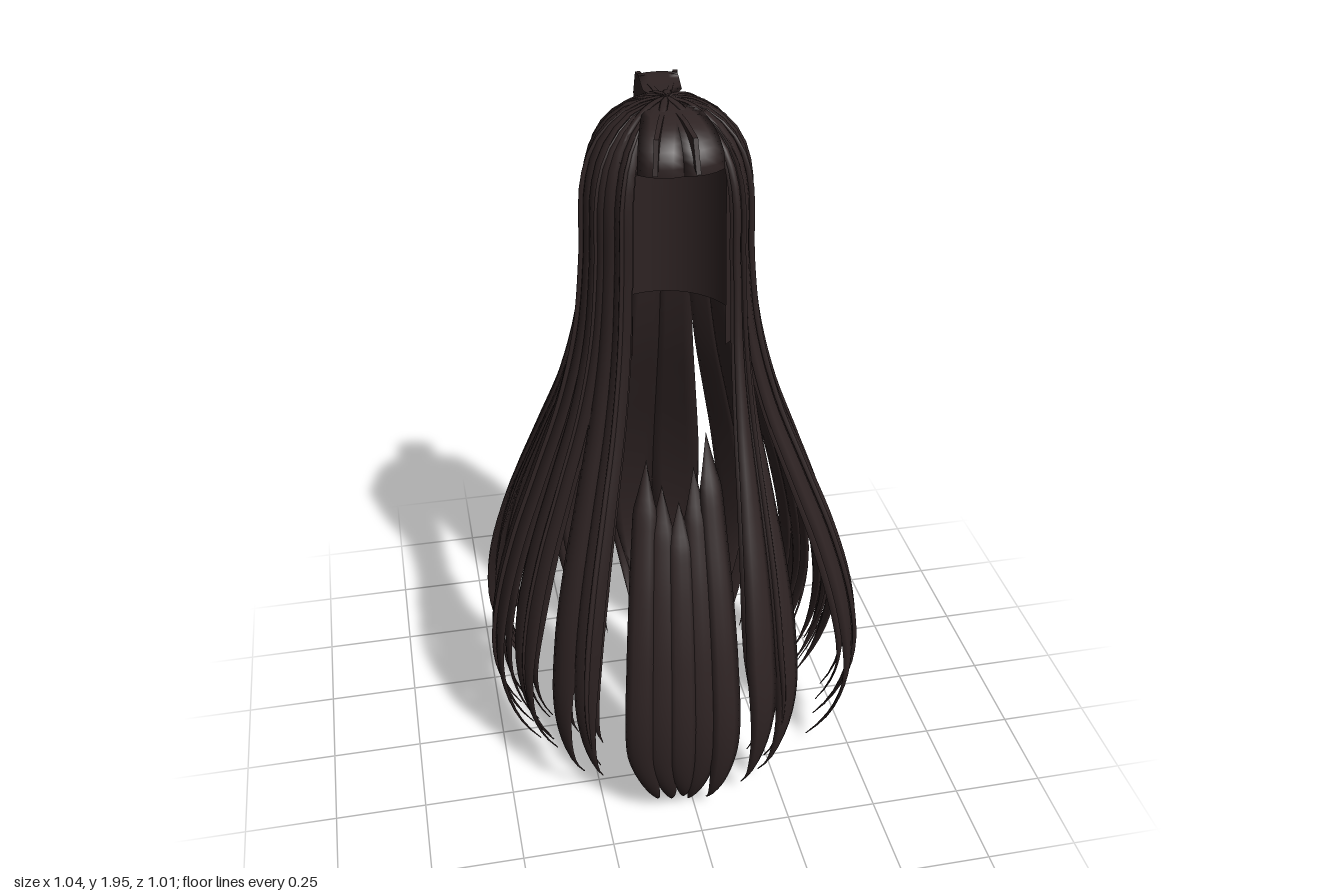
import * as THREE from 'three';
import { mergeGeometries } from 'three/addons/utils/BufferGeometryUtils.js';

const { lerp, clamp, smoothstep, degToRad } = THREE.MathUtils;

// Small seeded random for strand variation
let seed = 7;
const rand = () => (seed = (seed * 16807) % 2147483647) / 2147483647;

// Radius/height curve, stored as x = radius, y = height
const curve = pts => new THREE.CatmullRomCurve3(pts.map(p => new THREE.Vector3(p[0], p[1], 0)));
const fall = curve([[0.01, 1.988], [0.1, 1.965], [0.165, 1.9], [0.198, 1.8], [0.208, 1.6], [0.23, 1.4],
  [0.28, 1.2], [0.355, 1.0], [0.43, 0.8], [0.485, 0.6], [0.51, 0.4], [0.49, 0.2], [0.43, 0]]);
const fallLength = fall.getLength();

// Lens-shaped tapered strand: rule(s, r) gives azimuth, half angle, radius offset and thickness
function strandGeometry(path, t0, t1, rows, rule) {
  const across = 4, ring = across * 2, pos = [], idx = [];
  for (let i = 0; i <= rows; i++) {
    const s = i / rows, p = path.getPointAt(lerp(t0, t1, s));
    const { az, half, dr, thick } = rule(s, p.x);
    for (let k = 0; k < ring; k++) {
      const outer = k <= across;
      const u = (outer ? k : ring - k) / across * 2 - 1;
      const r = Math.max(0.004, p.x + dr + (outer ? 1 : -0.5) * thick * (1 - u * u));
      const a = az + u * half;
      pos.push(Math.sin(a) * r, Math.max(0, p.y), Math.cos(a) * r);
    }
    if (i === rows) break;
    for (let k = 0; k < ring; k++) {
      const a = i * ring + k, b = i * ring + (k + 1) % ring, c = a + ring, d = b + ring;
      idx.push(a, c, d, a, d, b);
    }
  }
  const g = new THREE.BufferGeometry();
  g.setAttribute('position', new THREE.Float32BufferAttribute(pos, 3));
  g.setIndex(idx);
  g.computeVertexNormals();
  return g;
}

// One strand inside a lock; u0..u1 is its share of the lock's width
function lockStrand(lock, u0, u1, tipY, opt = {}) {
  const { out = 0, startY = 2, scale = 1, thick = 0.01 } = opt;
  let t0 = 0;
  while (startY < 1.95 && fall.getPointAt(t0).y > startY) t0 += 0.005;
  const t1 = 1 - tipY / fallLength;
  const drift = (rand() - 0.5) * 0.1;
  return strandGeometry(fall, t0, t1, 44, (s, r) => {
    // Edges spread so that the lock keeps an even width as the radius grows
    const b = clamp((1 / 0.21 - 1 / r) / (1 / 0.21 - 1 / 0.49), 0, 1);
    const lo = lerp(lock.top[0], lock.bottom[0], b), hi = lerp(lock.top[1], lock.bottom[1], b);
    const bend = smoothstep(s, 0.75, 1);
    const mid = lerp(lerp(lo, hi, (u0 + u1) / 2), (lo + hi) / 2, 0.2 * bend) + drift * bend;
    let taper = 1 - Math.pow(clamp((s - 0.7) / 0.3, 0, 1), 1.9);
    if (startY < 1.95) taper *= clamp(s / 0.12, 0, 1);
    return {
      az: mid,
      half: (hi - lo) * (u1 - u0) * 0.6 * taper,
      dr: out * smoothstep(s, 0, 0.15) + r * (lerp(1, lock.reach * scale, b) - 1) - 0.05 * Math.pow(s, 16),
      thick: thick * (0.25 + 0.75 * taper) * clamp(s * 8, 0.3, 1),
    };
  });
}

export function createModel() {
  seed = 7;
  const model = new THREE.Group();
  const hair = new THREE.MeshStandardMaterial({ color: 0x2e2323, side: THREE.DoubleSide });
  hair.name = 'dark brown hair';
  const add = (name, geometry) => {
    const mesh = new THREE.Mesh(geometry, hair);
    mesh.name = name;
    model.add(mesh);
  };

  // Crown cap and the inner shell behind the open face
  const capPoints = [[0.002, 1.983], [0.07, 1.97], [0.125, 1.938], [0.162, 1.89], [0.176, 1.86]];
  add('crownCap', new THREE.LatheGeometry(capPoints.map(p => new THREE.Vector2(...p)).reverse(), 40));
  add('innerShell', new THREE.CylinderGeometry(0.176, 0.186, 0.5, 40, 1, true, degToRad(42), degToRad(280)).translate(0, 1.63, 0));

  // Locks around the head: start and end azimuth at the hem (0 = front, 90 = left) and reach
  const table = [[16, 36, 0.96], [53, 72, 1.08], [86, 103, 1.0], [104, 118, 0.95], [126, 147, 0.96],
    [157, 191, 0.98], [194, 214, 0.96], [232, 251, 1.06], [269, 284, 1.0], [284, 299, 0.94], [309, 326, 0.96]];
  table.forEach(([a, b, reach], i) => {
    const first = i === 0, last = i === table.length - 1;
    const lo = first ? 40 : i === 1 ? 50 : last ? 299 : (table[i - 1][1] + a) / 2;
    const hi = first ? 54 : last ? 324 : (b + table[i + 1][0]) / 2;
    const lock = { top: [lo, hi].map(degToRad), bottom: [a, b].map(degToRad), reach };
    const n = Math.max(2, Math.round((b - a) / 9));
    const parts = [];
    for (let k = 0; k < n; k++) {
      const edge = Math.abs((k + 0.5) / n * 2 - 1);
      const tip = 0.01 + 0.1 * edge + 0.07 * rand();
      parts.push(lockStrand(lock, k / n, (k + 1) / n, tip, { out: (rand() - 0.5) * 0.006 }));
    }
    // Inner layer that curls in earlier
    for (let k = 0; k < 2; k++) {
      parts.push(lockStrand(lock, k / 2, (k + 1) / 2, 0.16 + 0.12 * rand(), { out: -0.008, scale: 0.97, thick: 0.008 }));
    }
    // Thin wisp lying on the surface
    const u = 0.15 + 0.6 * rand();
    parts.push(lockStrand(lock, u, u + 0.1, 0.1 + 0.1 * rand(), { out: 0.008, thick: 0.01 }));
    add('hairLock' + (i + 1), mergeGeometries(parts));
  });

  // Front lock, with a ragged upper end below the face opening
  const front = { top: [-28, 16].map(degToRad), bottom: [-23, 11].map(degToRad), reach: 0.95 };
  const frontParts = [];
  for (let k = 0; k < 5; k++) {
    const edge = Math.abs((k + 0.5) / 5 * 2 - 1);
    frontParts.push(lockStrand(front, k / 5 - 0.02, (k + 1) / 5 + 0.02, 0.01 + 0.1 * rand(),
      { startY: 1.02 + 0.14 * edge + 0.08 * rand(), out: (rand() - 0.5) * 0.01 }));
  }
  add('frontLock', mergeGeometries(frontParts));

  // Short cut fringe over the brow
  const stub = (path, azimuth, width, end, thick) => strandGeometry(path, 0, end, 12, (s, r) => ({
    az: degToRad(azimuth), half: Math.min(0.6, width / Math.max(r, 0.03)), dr: 0, thick,
  }));
  const fringe = curve([[0.02, 1.985], [0.09, 1.976], [0.16, 1.95], [0.2, 1.905], [0.202, 1.87]]);
  add('fringe', mergeGeometries([-15, 15].map(a => stub(fringe, a, 0.056, 1, 0.008))));

  // Raised cut tufts at the front and back of the crown: upright blades under a flat top
  const blade = (points, azimuth) => new THREE.ExtrudeGeometry(
    new THREE.Shape(points.map(p => new THREE.Vector2(...p))), { depth: 0.012, bevelEnabled: false },
  ).translate(0, 0, -0.006).rotateY(degToRad(azimuth - 90));
  const frontBlade = [[0.04, 1.95], [0.04, 1.982], [0.13, 1.976], [0.2, 1.96], [0.225, 1.88], [0.195, 1.905], [0.17, 1.875], [0.13, 1.92]];
  const backBlade = [[0.03, 1.95], [0.03, 1.98], [0.195, 1.988], [0.21, 1.93], [0.19, 1.885], [0.14, 1.91]];
  add('frontTufts', mergeGeometries([-18, 8].map(a => blade(frontBlade, a))));
  add('backTufts', mergeGeometries([162, 190].map(a => blade(backBlade, a))));
  const backTop = curve([[0.03, 1.975], [0.1, 1.982], [0.19, 1.984], [0.207, 1.93]]);
  add('backTuftTops', stub(backTop, 176, 0.05, 1, 0.005));

  // Narrow ridges meeting at the crown
  const ridge = curve([[0.01, 1.992], [0.07, 1.98], [0.125, 1.946], [0.17, 1.89]]);
  const ridges = [];
  for (let i = 0; i < 10; i++) ridges.push(stub(ridge, i * 36 + 15 + 8 * rand(), 0.01, 0.7 + 0.2 * rand(), 0.006));
  add('crownRidges', mergeGeometries(ridges));

  return model;
}
